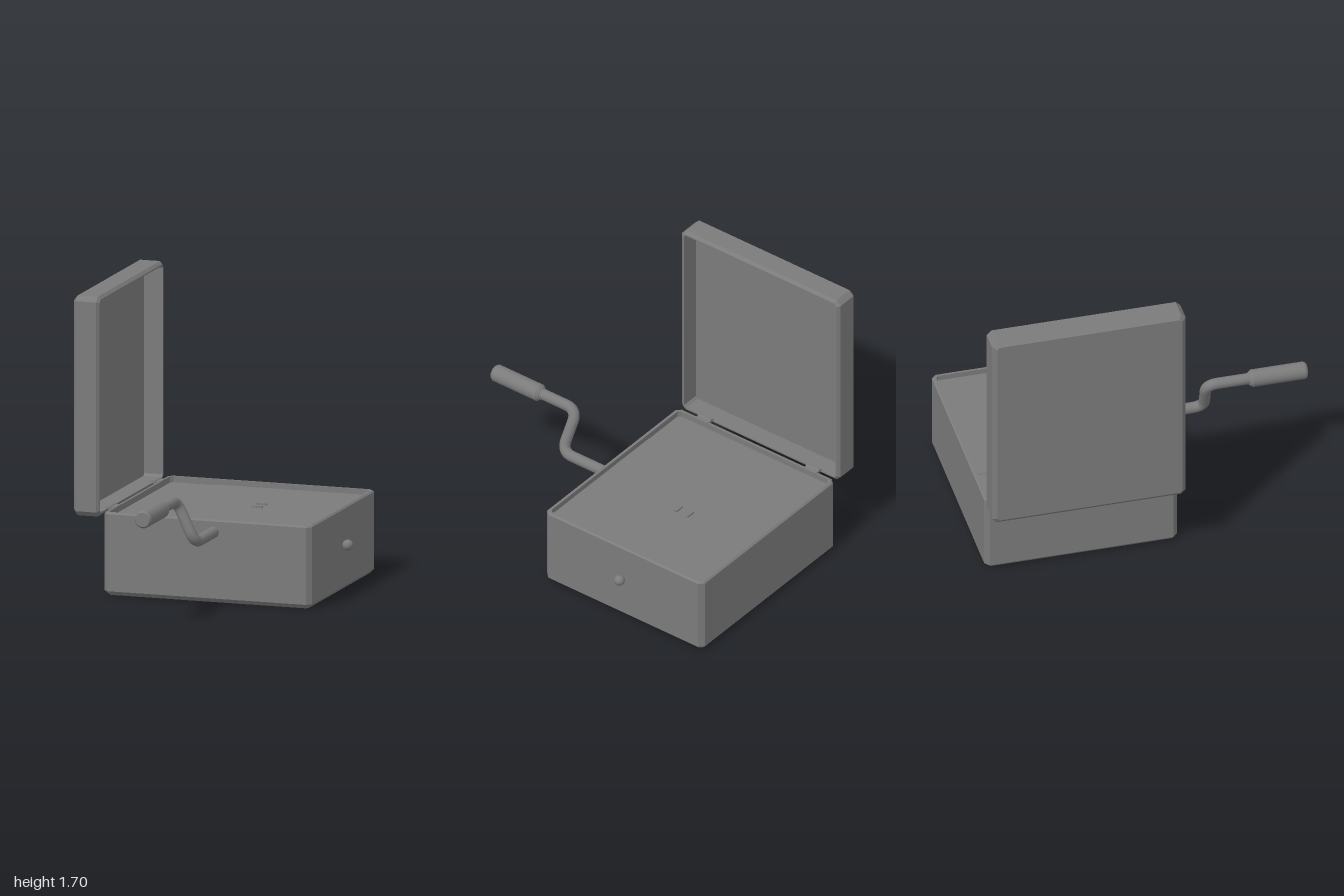
import * as THREE from 'three';

const grey = new THREE.MeshStandardMaterial({ color: 0x7b7b7b });
const flatGrey = new THREE.MeshStandardMaterial({ color: 0x7b7b7b, flatShading: true });

function part(name, geometry, material, x = 0, y = 0, z = 0) {
  const mesh = new THREE.Mesh(geometry, material);
  mesh.name = name;
  mesh.position.set(x, y, z);
  return mesh;
}

// Rectangle with cut corners, shrunk by an inset, at height y
function loop(w, d, cut, inset, y) {
  const a = w / 2 - inset, b = d / 2 - inset, c = Math.max(0.004, cut - inset * 0.586);
  return [[a, -b + c], [a, b - c], [a - c, b], [-a + c, b], [-a, b - c], [-a, -b + c], [-a + c, -b], [a - c, -b]]
    .map(([x, z]) => new THREE.Vector3(x, y, z));
}

// Open tray: outer shell up to the rim, then down inside to the floor
function trayGeometry(w, d, cut, levels) {
  const loops = levels.map(([inset, y]) => loop(w, d, cut, inset, y));
  const points = [];
  for (let k = 0; k < loops.length - 1; k++) {
    const lo = loops[k], up = loops[k + 1];
    for (let i = 0; i < 8; i++) {
      const j = (i + 1) % 8;
      points.push(lo[i], up[i], lo[j], lo[j], up[i], up[j]);
    }
  }
  const first = loops[0], last = loops[loops.length - 1];
  for (let i = 1; i < 7; i++) {
    points.push(first[0], first[i], first[i + 1]);
    points.push(last[0], last[i + 1], last[i]);
  }
  const geometry = new THREE.BufferGeometry().setFromPoints(points);
  geometry.computeVertexNormals();
  return geometry;
}

// Flat pill with its long side along x and its thickness along y
function pillGeometry(halfLength, radius, thickness) {
  const shape = new THREE.Shape();
  shape.absarc(halfLength, 0, radius, -Math.PI / 2, Math.PI / 2);
  shape.absarc(-halfLength, 0, radius, Math.PI / 2, Math.PI * 1.5);
  return new THREE.ExtrudeGeometry(shape, { depth: thickness, bevelEnabled: false, curveSegments: 8 })
    .rotateX(-Math.PI / 2);
}

// Polyline with rounded corners
function bentPath(points, radius) {
  const path = new THREE.CurvePath();
  let start = points[0];
  for (let i = 1; i < points.length - 1; i++) {
    const p = points[i];
    const before = p.clone().add(points[i - 1].clone().sub(p).setLength(radius));
    const after = p.clone().add(points[i + 1].clone().sub(p).setLength(radius));
    path.add(new THREE.LineCurve3(start, before));
    path.add(new THREE.QuadraticBezierCurve3(before, p, after));
    start = after;
  }
  path.add(new THREE.LineCurve3(start, points[points.length - 1]));
  return path;
}

export function createModel() {
  const model = new THREE.Group();
  model.name = 'crankBox';
  const midZ = -0.44;

  // Box body with a shallow recess on top
  model.add(part('boxBody', trayGeometry(1.232, 1.116, 0.028, [
    [0.025, 0], [0, 0.025], [0, 0.466], [0.01, 0.475], [0.024, 0.475], [0.024, 0.44],
  ]), flatGrey, 0.06, 0, midZ));

  // Slightly raised cover plate in the recess
  model.add(part('coverPlate', new THREE.BoxGeometry(0.909, 0.02, 1.066), flatGrey, 0.1985, 0.434, midZ));

  // Two small flat tabs on the cover plate
  for (const z of [-0.44, -0.52]) {
    model.add(part('plateTab', pillGeometry(0.023, 0.011, 0.012), flatGrey, 0.165, 0.442, z));
  }

  // Hollow lid standing upright, open towards the box
  const lid = part('lid', trayGeometry(1.258, 1.122, 0.028, [
    [0.025, 0], [0, 0.022], [0, 0.14], [0.016, 0.156], [0.024, 0.156], [0.024, 0.045],
  ]), flatGrey, -0.737, 1.072, midZ);
  lid.rotation.z = -Math.PI / 2;
  model.add(lid);

  // Hinges
  for (const z of [-0.83, -0.065]) {
    const hinge = new THREE.Group();
    hinge.name = 'hinge';
    const barrel = part('hingeBarrel', new THREE.CylinderGeometry(0.011, 0.011, 0.09, 12), grey, -0.567, 0.474, z);
    barrel.rotation.x = Math.PI / 2;
    hinge.add(barrel, part('hingeLeaf', new THREE.BoxGeometry(0.06, 0.006, 0.09), flatGrey, -0.56, 0.475, z));
    model.add(hinge);
  }

  // Crank rod and turned handle
  const crank = new THREE.Group();
  crank.name = 'crank';
  const rod = bentPath([
    new THREE.Vector3(0.1, 0.405, 0.08), new THREE.Vector3(0.1, 0.405, 0.437),
    new THREE.Vector3(-0.016, 0.637, 0.418), new THREE.Vector3(-0.016, 0.637, 0.7),
  ], 0.075);
  crank.add(part('crankRod', new THREE.TubeGeometry(rod, 80, 0.032, 20), grey));
  const profile = [[0, 0], [0.036, 0], [0.05, 0.018], [0.05, 0.322], [0.041, 0.335], [0, 0.335]];
  const handle = part('crankHandle', new THREE.LatheGeometry(
    profile.map(([r, y]) => new THREE.Vector2(r, y)), 32), flatGrey, -0.016, 0.636, 0.665);
  handle.rotation.x = Math.PI / 2;
  crank.add(handle);
  model.add(crank);

  // Round knob on the side
  model.add(part('sideKnob', new THREE.SphereGeometry(0.031, 20, 14), grey, 0.705, 0.265, -0.437));

  return model;
}
